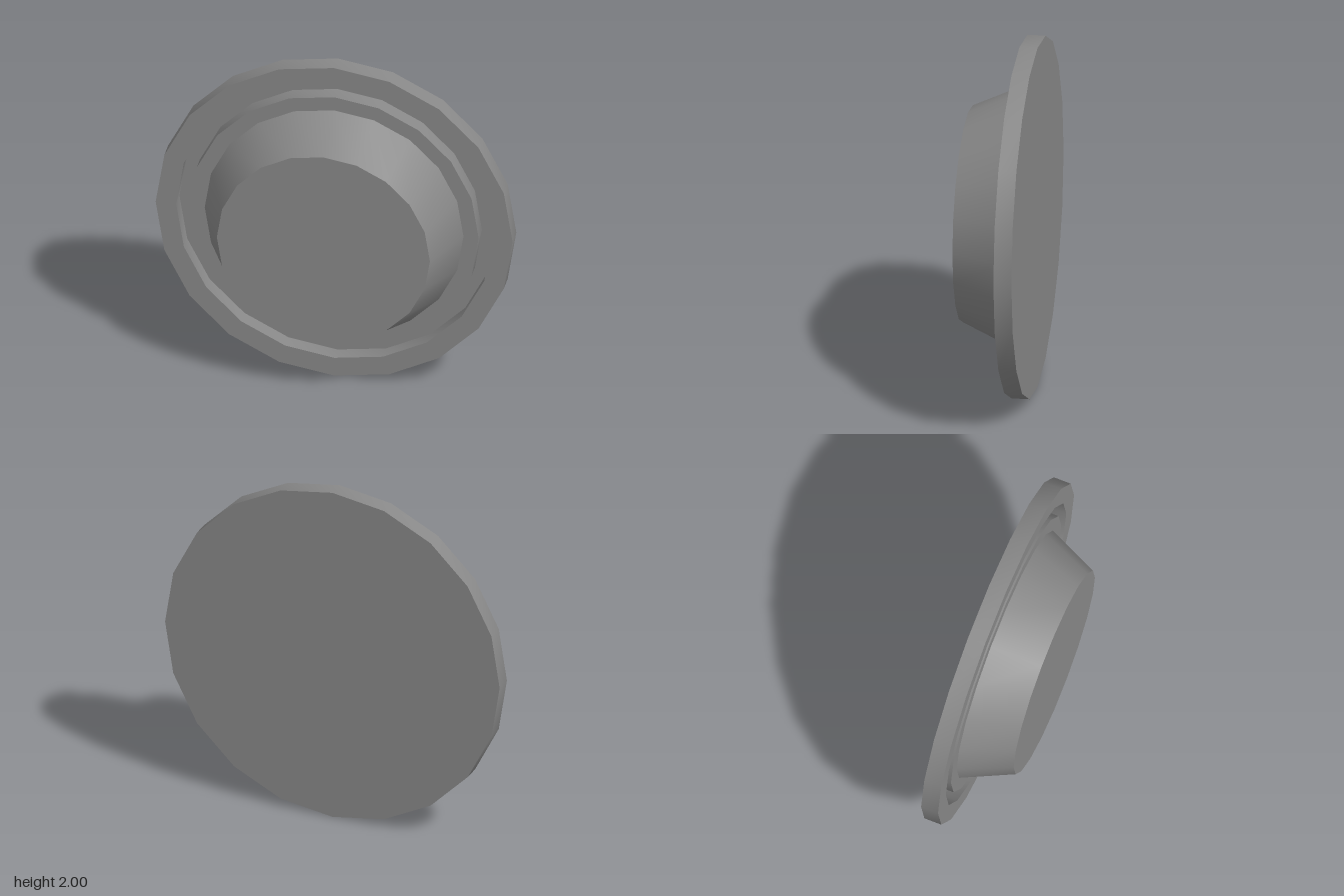
import * as THREE from 'three';
import { toCreasedNormals } from 'three/addons/utils/BufferGeometryUtils.js';

const SIDES = 20;
const BACK = -0.19, FACE = -0.09, FRONT = 0.195; // depths along z
const GROOVE_FLOOR = FACE - 0.087;

// Spins a [radius, depth] profile around the z axis, keeping its edges sharp
function turned(name, profile, material) {
  const points = profile.map(([r, z]) => new THREE.Vector2(r, z));
  const geometry = new THREE.LatheGeometry(points, SIDES).rotateX(Math.PI / 2);
  const mesh = new THREE.Mesh(toCreasedNormals(geometry, Math.PI / 7), material);
  mesh.name = name;
  mesh.position.y = 1;
  return mesh;
}

export function createModel() {
  const group = new THREE.Group();
  group.name = 'roundPlate';
  const darkGrey = new THREE.MeshStandardMaterial({ color: 0x888888 });

  // Flat disc with a ring groove cut into its front face
  group.add(turned('basePlate', [
    [0, BACK], [1, BACK], [1, FACE],
    [0.885, FACE], [0.885, GROOVE_FLOOR], [0.81, GROOVE_FLOOR], [0.81, FACE],
    [0.725, FACE],
  ], darkGrey));

  // Tapered raised centre with a flat front
  group.add(turned('raisedCentre', [[0.725, FACE], [0.597, FRONT], [0, FRONT]], darkGrey));

  return group;
}
